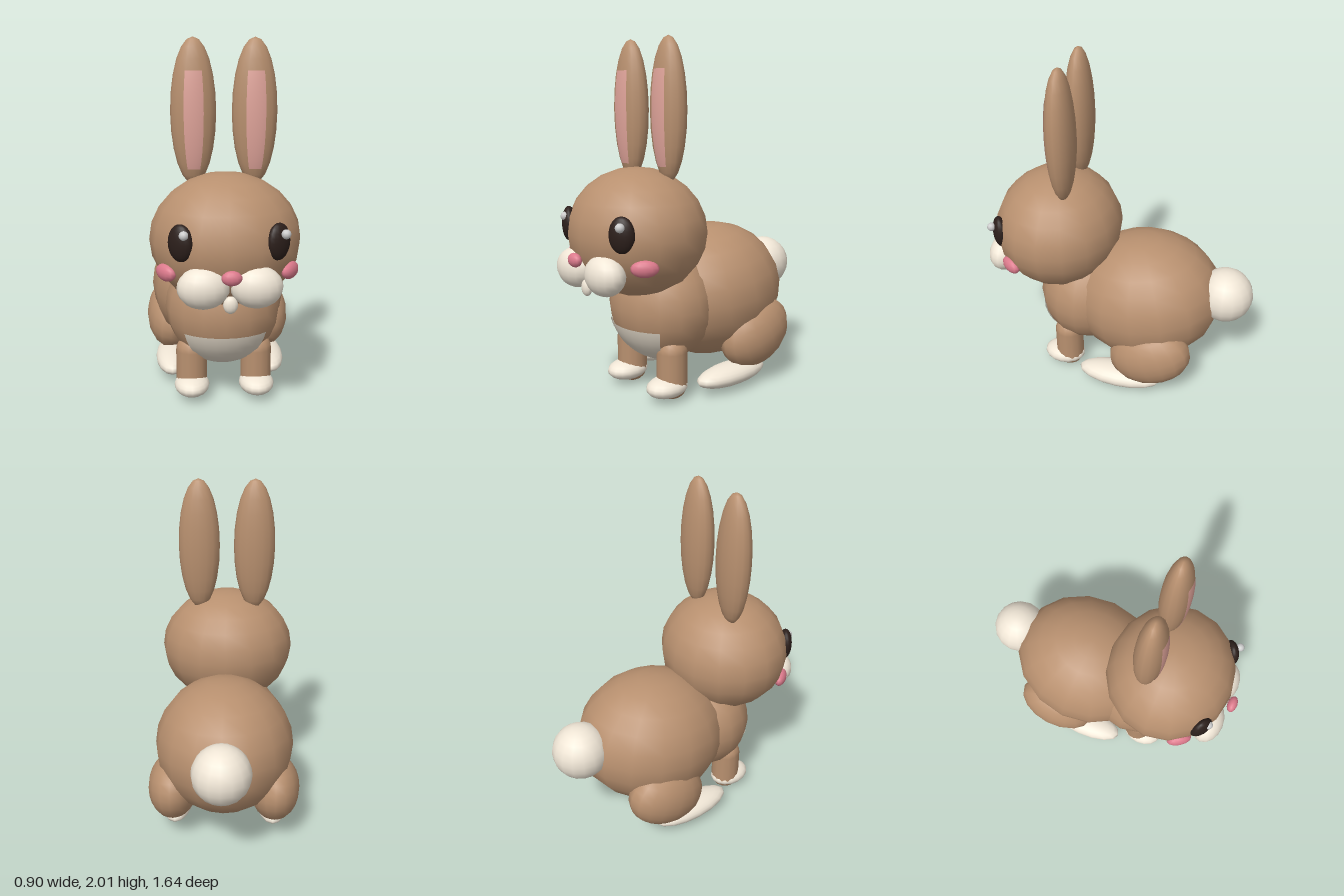
import * as THREE from 'three';

const material = (color, side = THREE.FrontSide) => new THREE.MeshStandardMaterial({ color, side });
const fur = material(0xb8906f);
const cream = material(0xf0e6d6);
const creamPatch = material(0xe0d6c6, THREE.DoubleSide);
const innerEarPink = material(0xe0a49a, THREE.DoubleSide);
const pink = material(0xdc7a8c);
const dark = material(0x2c1f1b);
const shine = material(0xcccccc);

export function createModel() {
  const rabbit = new THREE.Group();
  rabbit.name = 'rabbit';

  function add(name, geometry, mat, position, rotation = [0, 0, 0]) {
    const mesh = new THREE.Mesh(geometry, mat);
    mesh.name = name;
    mesh.position.set(...position);
    mesh.rotation.set(...rotation);
    rabbit.add(mesh);
    return mesh;
  }

  // Low-poly ellipsoid with the given radii
  function ellipsoid(name, mat, position, radii, rotation, segments = 16) {
    const geometry = new THREE.SphereGeometry(1, segments, segments * 0.75).scale(...radii);
    return add(name, geometry, mat, position, rotation);
  }

  // Thin patch on the front of an ellipsoid, bounded by angles in degrees
  function frontPatch(name, mat, position, radii, halfWidth, top, bottom) {
    const rad = THREE.MathUtils.degToRad;
    const geometry = new THREE.SphereGeometry(1, 8, 10, rad(90 - halfWidth), rad(2 * halfWidth),
      rad(top), rad(bottom - top)).scale(...radii.map((r) => r * 1.015));
    return add(name, geometry, mat, position);
  }

  // Body
  ellipsoid('body', fur, [0, 0.525, -0.17], [0.41, 0.4, 0.47], [0.12, 0, 0]);
  ellipsoid('chest', fur, [0, 0.5, 0.2], [0.33, 0.33, 0.3]);
  frontPatch('belly', creamPatch, [0, 0.5, 0.2], [0.33, 0.33, 0.3], 45, 107, 180);
  ellipsoid('tail', cream, [0, 0.61, -0.66], [0.165, 0.165, 0.165]);

  // Head
  ellipsoid('head', fur, [0, 0.94, 0.38], [0.41, 0.36, 0.38]);
  ellipsoid('nose', pink, [0, 0.835, 0.79], [0.052, 0.038, 0.03], undefined, 12);
  ellipsoid('tooth', cream, [0, 0.675, 0.72], [0.038, 0.046, 0.025], undefined, 12);

  for (const [side, s] of [['left', 1], ['right', -1]]) {
    // Ears
    const earPosition = [0.165 * s, 1.61, 0.285];
    const earRadii = [0.123, 0.39, 0.082];
    ellipsoid(`${side}Ear`, fur, earPosition, earRadii);
    frontPatch(`${side}InnerEar`, innerEarPink, earPosition, earRadii, 25, 57, 140);

    // Face; both eye highlights sit towards the model's left
    ellipsoid(`${side}Eye`, dark, [0.247 * s, 0.985, 0.665], [0.071, 0.097, 0.04], [0, 0.6 * s, 0]);
    ellipsoid(`${side}EyeHighlight`, shine, [0.255 * s + 0.024, 1.03, 0.7],
      [0.025, 0.025, 0.025], undefined, 12);
    ellipsoid(`${side}Cheek`, pink, [0.322 * s, 0.81, 0.578], [0.075, 0.046, 0.035], [0, 0.95 * s, 0], 12);
    ellipsoid(`${side}Muzzle`, cream, [0.135 * s, 0.76, 0.695], [0.135, 0.11, 0.095]);

    // Front leg and paw
    add(`${side}FrontLeg`, new THREE.CapsuleGeometry(0.088, 0.19, 5, 14), fur, [0.185 * s, 0.17, 0.285]);
    ellipsoid(`${side}FrontPaw`, cream, [0.185 * s, 0.067, 0.32], [0.1, 0.06, 0.13]);

    // Haunch and hind foot
    ellipsoid(`${side}Haunch`, fur, [0.3 * s, 0.29, -0.27], [0.15, 0.195, 0.255], [0.35, 0, 0]);
    ellipsoid(`${side}HindFoot`, cream, [0.295 * s, 0.075, -0.08], [0.1, 0.064, 0.26]);
  }

  return rabbit;
}
